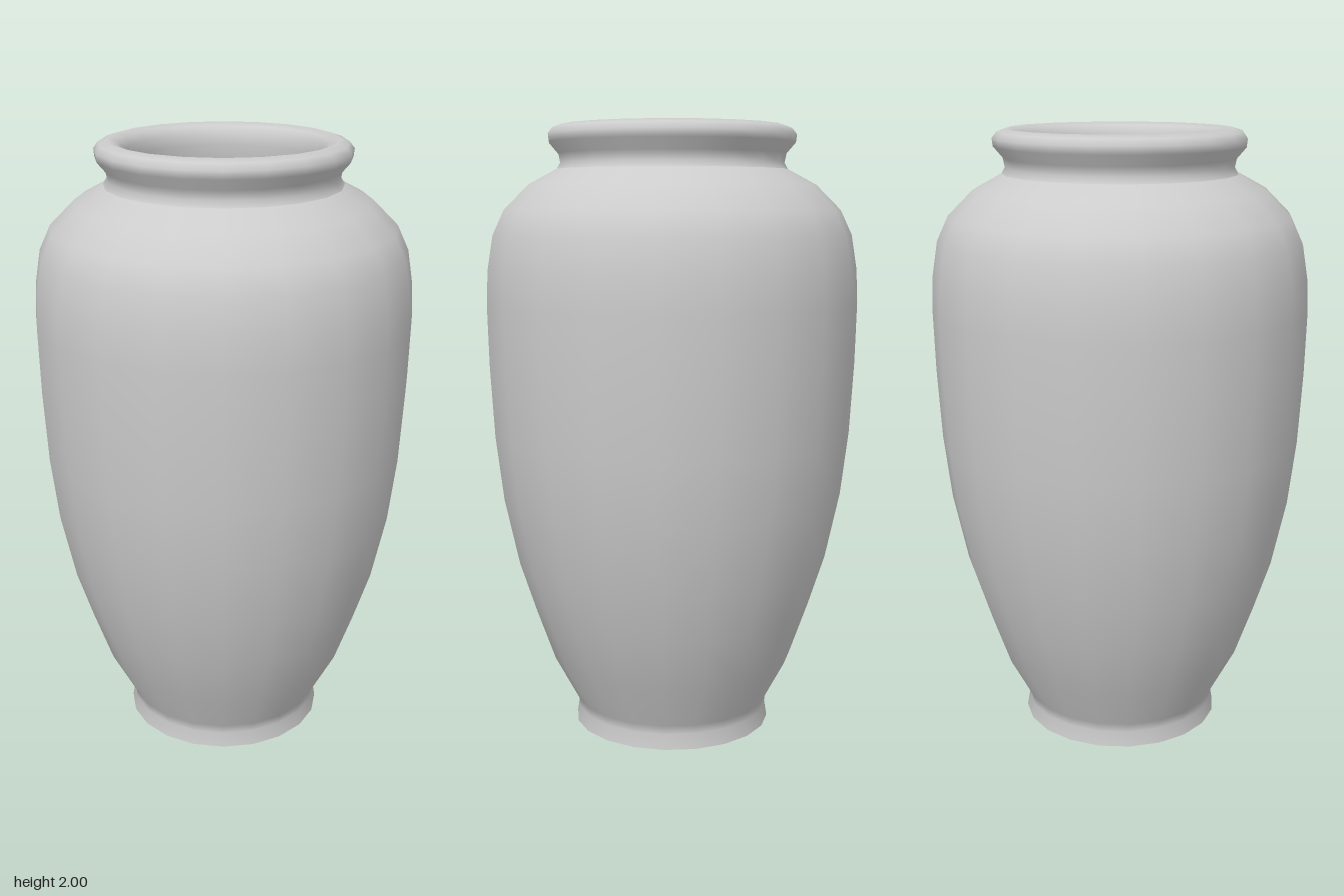
import * as THREE from 'three';

const SIDES = 20;

export function createModel() {
  const vase = new THREE.Group();
  vase.name = 'vase';
  const material = new THREE.MeshStandardMaterial({ color: 0xcccccc });

  const add = (name, geometry) => {
    const mesh = new THREE.Mesh(geometry, material);
    mesh.name = name;
    vase.add(mesh);
    return mesh;
  };
  const lathe = (points) =>
    new THREE.LatheGeometry(points.map(([r, y]) => new THREE.Vector2(r, y)), SIDES);

  // Foot, belly and shoulder
  add('body', lathe([
    [0.33, 0], [0.322, 0.05], [0.325, 0.08], [0.405, 0.23], [0.465, 0.4],
    [0.52, 0.57], [0.567, 0.79], [0.592, 1.0], [0.605, 1.23], [0.61, 1.43],
    [0.605, 1.54], [0.587, 1.65], [0.55, 1.73], [0.47, 1.81], [0.378, 1.86],
  ]));

  // Neck and rolled lip, continuing down the inside of the mouth
  add('neckAndLip', lathe([
    [0.378, 1.86], [0.366, 1.88], [0.372, 1.91], [0.402, 1.945], [0.405, 1.97],
    [0.39, 1.99], [0.36, 2.0], [0.33, 1.99], [0.312, 1.965], [0.31, 1.93],
    [0.315, 1.86], [0.34, 1.8], [0.39, 1.73],
  ]));

  // Flat surface inside the mouth
  const floor = add('innerFloor', new THREE.CircleGeometry(0.39, SIDES));
  floor.rotation.x = -Math.PI / 2;
  floor.position.y = 1.73;

  // Flat underside
  const base = add('base', new THREE.CircleGeometry(0.33, SIDES));
  base.rotation.x = Math.PI / 2;

  return vase;
}
